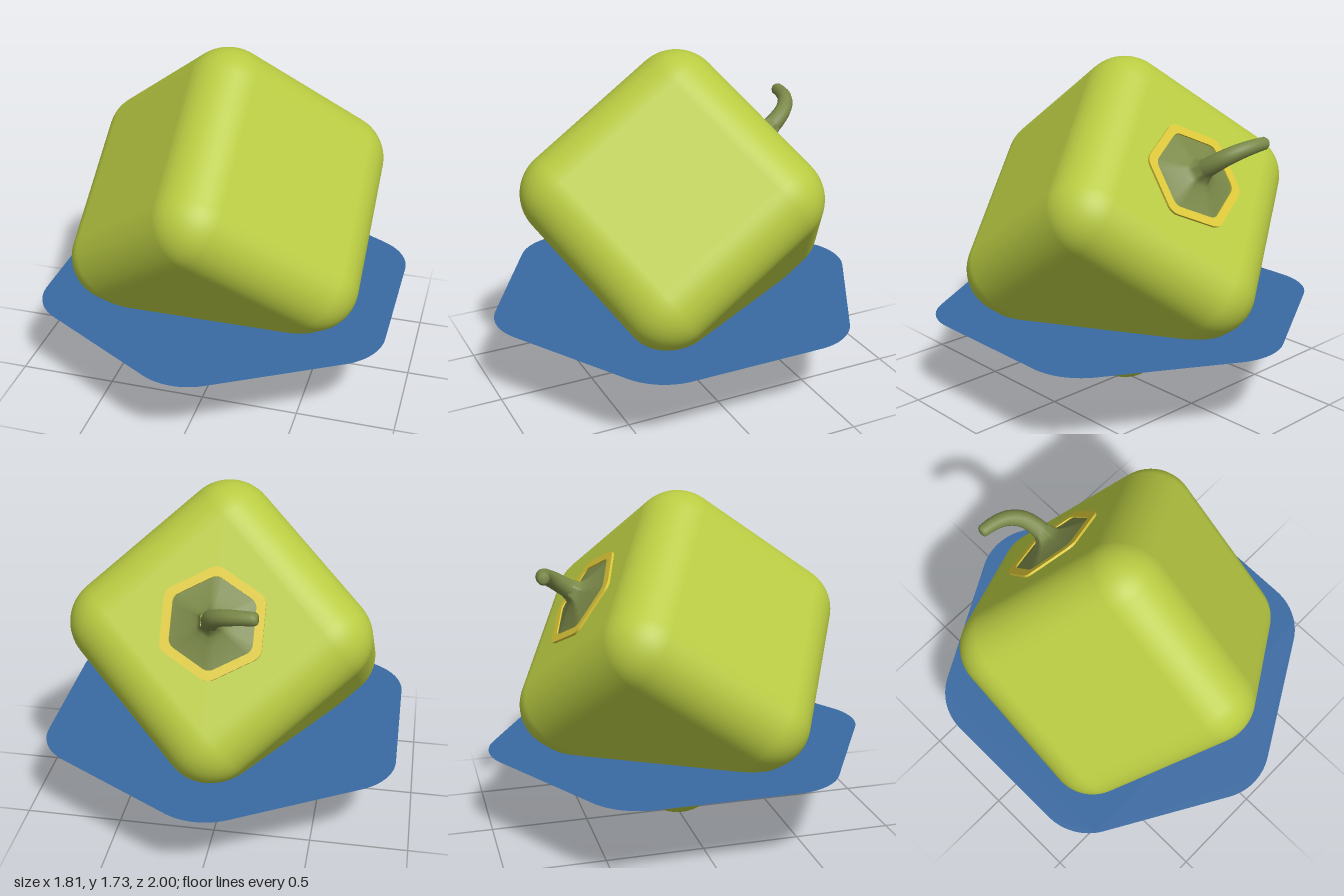
import * as THREE from 'three';
import { RoundedBoxGeometry } from 'three/addons/geometries/RoundedBoxGeometry.js';

const mat = (name, color, side = THREE.FrontSide) => {
  const m = new THREE.MeshStandardMaterial({ color, side });
  m.name = name;
  return m;
};

// Hexagon with rounded corners, one corner pointing to +y
function hexTrace(target, R, r) {
  for (let k = 0; k < 6; k++) {
    const a = Math.PI / 2 + (k * Math.PI) / 3;
    target.absarc(R * Math.cos(a), R * Math.sin(a), r, a - Math.PI / 6, a + Math.PI / 6, false);
  }
  target.closePath();
  return target;
}

// Smooth skin over closed loops that have equal point counts
function loft(loops) {
  const n = loops[0].length;
  const index = [];
  for (let i = 0; i < loops.length - 1; i++) {
    for (let j = 0; j < n; j++) {
      const k = (j + 1) % n;
      const a = i * n + j, b = i * n + k;
      index.push(a, b, b + n, a, b + n, a + n);
    }
  }
  const g = new THREE.BufferGeometry().setFromPoints(loops.flat());
  g.setIndex(index);
  g.computeVertexNormals();
  return g;
}

export function createModel() {
  const lime = mat('lime skin', 0xb9cb42);
  const yellow = mat('yellow rim', 0xdcc838);
  const olive = mat('olive stem', 0x7a8848);
  const blue = mat('blue sheet', 0x3a6aa2, THREE.DoubleSide);

  const model = new THREE.Group();
  const add = (parent, name, geometry, material) => {
    const m = new THREE.Mesh(geometry, material);
    m.name = name;
    parent.add(m);
    return m;
  };

  // Cube balanced on a corner; local z is the normal of the face with the stem
  const half = 0.598;
  const fruit = new THREE.Group();
  fruit.name = 'fruit';
  const n = new THREE.Vector3(0, Math.sqrt(1 / 3), -Math.sqrt(2 / 3));
  const u = new THREE.Vector3(0, Math.sqrt(2 / 3), Math.sqrt(1 / 3));
  fruit.quaternion.setFromRotationMatrix(
    new THREE.Matrix4().makeBasis(new THREE.Vector3(-1, 0, 0), u, n));
  fruit.position.y = 0.867;
  model.add(fruit);

  add(fruit, 'body', new RoundedBoxGeometry(2 * half, 2 * half, 2 * half, 10, 0.232), lime)
    .rotation.z = Math.PI / 4;

  // Everything on the stem face
  const top = new THREE.Group();
  top.name = 'stemAssembly';
  top.position.z = half;
  fruit.add(top);

  const rim = hexTrace(new THREE.Shape(), 0.209, 0.064);
  rim.holes.push(hexTrace(new THREE.Path(), 0.171, 0.053));
  add(top, 'rim', new THREE.ExtrudeGeometry(rim, { depth: 0.012, bevelEnabled: false, curveSegments: 4 }), yellow);

  // Flared foot: hexagonal at the face, round at the neck
  const outline = hexTrace(new THREE.Shape(), 0.171, 0.053).getPoints(4);
  if (outline[0].distanceTo(outline[outline.length - 1]) < 1e-5) outline.pop();
  const foot = [[1, 0.004], [0.8, 0.013], [0.52, 0.032], [0.35, 0.047], [0.27, 0.065], [0.22, 0.1]];
  add(top, 'stemFoot', loft(foot.map(([s, z]) => outline.map((p) => {
    const round = 1 - s;
    const q = p.clone().lerp(p.clone().setLength(0.215), round).multiplyScalar(s);
    return new THREE.Vector3(q.x, q.y, z);
  }))), olive);

  // Curved, tapering stem with a softened tip
  const path = new THREE.CatmullRomCurve3(
    [[0, 0.05], [0.008, 0.12], [0.04, 0.2], [0.1, 0.255], [0.17, 0.28], [0.25, 0.289]]
      .map(([x, z]) => new THREE.Vector3(x, 0, z)));
  const Y = new THREE.Vector3(0, 1, 0);
  const ring = (t, radius) => {
    const c = path.getPointAt(t);
    const e2 = path.getTangentAt(t).cross(Y);
    return Array.from({ length: 12 }, (_, j) => {
      const a = (j * Math.PI) / 6;
      return c.clone().addScaledVector(Y, radius * Math.cos(a)).addScaledVector(e2, radius * Math.sin(a));
    });
  };
  const rings = [];
  for (let i = 0; i <= 16; i++) rings.push(ring((i / 16) * 0.96, 0.05 - (0.018 * i) / 16));
  rings.push(ring(0.99, 0.026), ring(1, 0.018), ring(1, 0));
  add(top, 'stem', loft(rings), olive);

  // Flat sheet the fruit sinks through
  const sheet = add(model, 'sheet',
    new THREE.ShapeGeometry(hexTrace(new THREE.Shape(), 0.694, 0.304), 10), blue);
  sheet.rotation.x = -Math.PI / 2;
  sheet.position.y = 0.433;

  return model;
}
